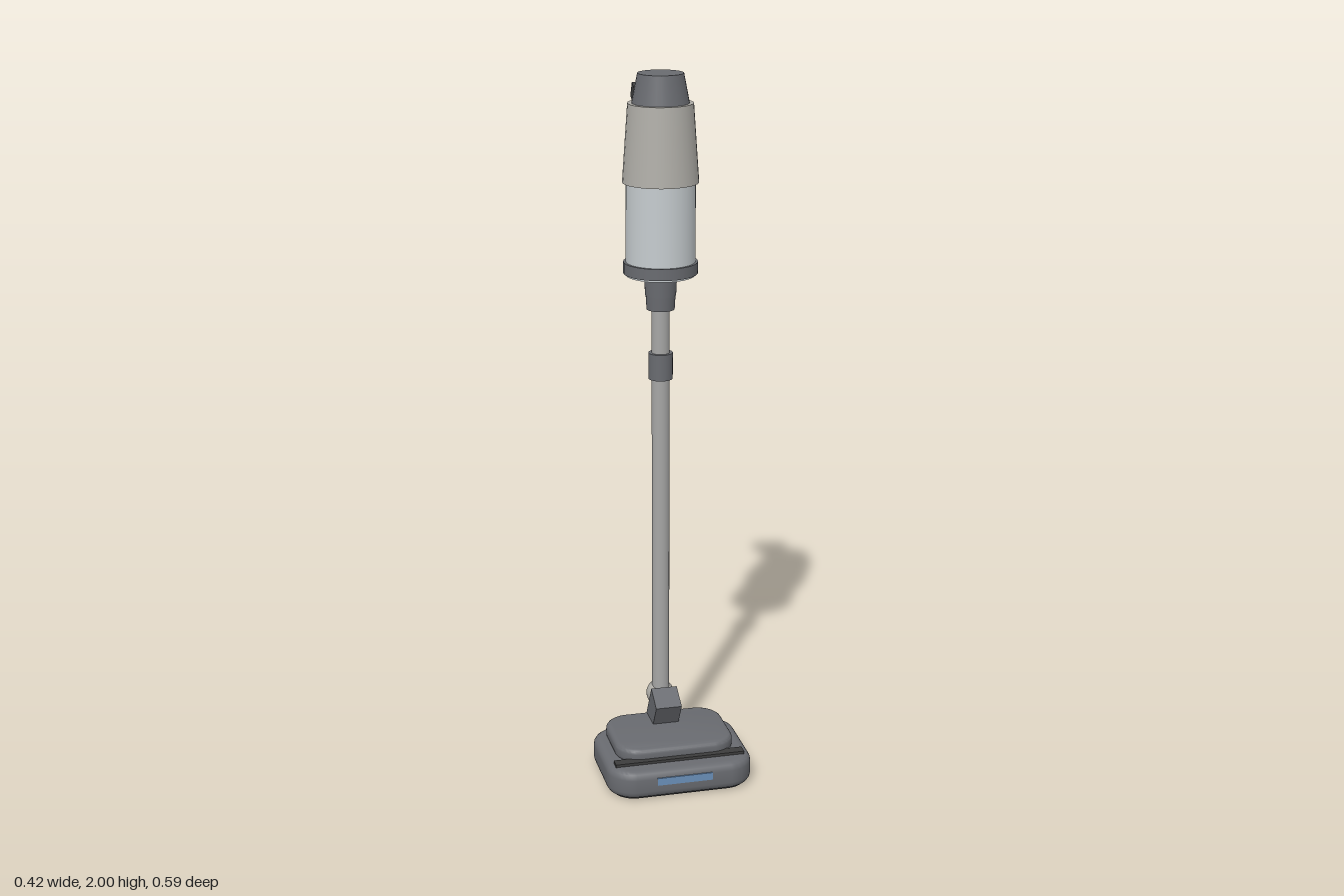
import * as THREE from 'three';
import { toCreasedNormals } from 'three/addons/utils/BufferGeometryUtils.js';

const AXIS_Z = -0.003; // the wand and body share one vertical axis

export function createModel() {
  const model = new THREE.Group();
  model.name = 'stickVacuum';

  const mat = (name, color) => {
    const m = new THREE.MeshStandardMaterial({ color });
    m.name = name;
    return m;
  };
  const grey = mat('slate grey', 0x696b70);
  const dark = mat('charcoal', 0x3d3d3d);
  const shell = mat('warm grey', 0xb0aea8);
  const bin = mat('pale bin', 0xc6cccf);
  const metal = mat('wand metal', 0xa6a6a5);
  const blue = mat('headlight blue', 0x6a8fb8);
  const red = mat('trigger red', 0xc4705c);

  const add = (name, geometry, material, x, y, z, rx = 0) => {
    const mesh = new THREE.Mesh(geometry, material);
    mesh.name = name;
    mesh.position.set(x, y, z);
    mesh.rotation.x = rx;
    model.add(mesh);
    return mesh;
  };

  // Vertical round part between two heights
  const round = (name, material, y0, y1, r0, r1 = r0) =>
    add(name, new THREE.CylinderGeometry(r1, r0, y1 - y0, 32), material, 0, (y0 + y1) / 2, AXIS_Z);

  const box = (name, material, size, y, z, rx = 0) =>
    add(name, new THREE.BoxGeometry(...size), material, 0, y, z, rx);

  // Slab with rounded plan corners and soft top and bottom edges
  const slab = (name, material, w, d, y0, y1, z, corner, bevel) => {
    const a = w / 2 - bevel, b = d / 2 - bevel, r = corner - bevel;
    const s = new THREE.Shape();
    s.moveTo(-a + r, -b);
    s.lineTo(a - r, -b);
    s.absarc(a - r, -b + r, r, -Math.PI / 2, 0);
    s.absarc(a - r, b - r, r, 0, Math.PI / 2);
    s.absarc(-a + r, b - r, r, Math.PI / 2, Math.PI);
    s.absarc(-a + r, -b + r, r, Math.PI, Math.PI * 1.5);
    const g = new THREE.ExtrudeGeometry(s, {
      depth: y1 - y0 - 2 * bevel, bevelEnabled: true, bevelThickness: bevel,
      bevelSize: bevel, bevelSegments: 4, curveSegments: 8,
    });
    g.translate(0, 0, bevel);
    g.rotateX(-Math.PI / 2);
    return add(name, toCreasedNormals(g, 0.7), material, 0, y0, z);
  };

  // Floor head
  slab('floorHead', grey, 0.42, 0.326, 0.004, 0.085, 0.129, 0.08, 0.022);
  slab('headDeck', grey, 0.344, 0.25, 0.078, 0.121, 0.096, 0.07, 0.014);
  slab('solePlate', dark, 0.385, 0.291, 0, 0.008, 0.129, 0.062, 0.002);
  box('bumperStrip', dark, [0.376, 0.016, 0.03], 0.085, 0.223);
  box('headlight', blue, [0.16, 0.022, 0.006], 0.055, 0.292);

  // Swivel joint
  box('neck', grey, [0.076, 0.157, 0.072], 0.1375, 0.03, 0.53);
  add('swivelBall', new THREE.SphereGeometry(0.04, 24, 16), shell, 0, 0.186, -0.011);

  // Wand
  round('wand', metal, 0.18, 1.37, 0.025);
  round('wandCollar', grey, 1.15, 1.225, 0.034);
  round('wandSocketLip', grey, 1.35, 1.40, 0.039, 0.042);
  round('wandSocket', grey, 1.39, 1.455, 0.043, 0.046);

  // Dust bin and motor body
  round('binBase', bin, 1.447, 1.46, 0.096);
  round('binRing', grey, 1.453, 1.485, 0.103);
  round('dustBin', bin, 1.48, 1.71, 0.096);
  round('motorBody', shell, 1.705, 1.92, 0.105, 0.09);
  round('topCap', grey, 1.918, 2, 0.079, 0.063);

  // Handle
  box('handleBracket', dark, [0.076, 0.045, 0.14], 1.9, -0.13, 0.46);
  const tip = new THREE.Vector3(0, 1.783, -0.285);
  const root = new THREE.Vector3(0, 1.868, -0.095);
  const grip = add('grip', new THREE.CylinderGeometry(0.025, 0.025, tip.distanceTo(root), 24), dark, 0, 0, 0);
  grip.position.copy(tip).lerp(root, 0.5);
  grip.quaternion.setFromUnitVectors(new THREE.Vector3(0, 1, 0), root.clone().sub(tip).normalize());
  box('trigger', red, [0.03, 0.04, 0.028], 1.838, -0.127, -0.42);

  return model;
}
